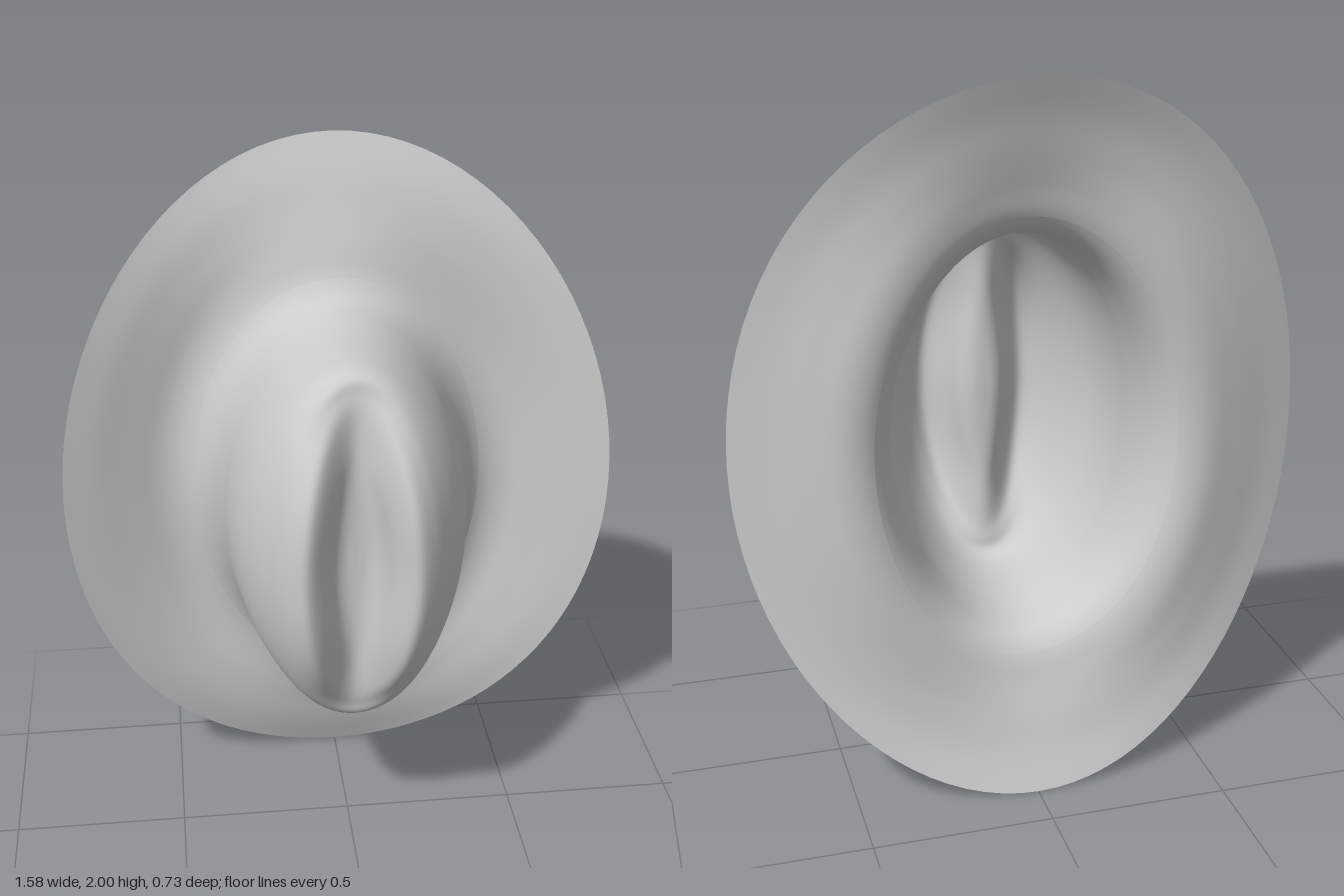
import * as THREE from 'three';

// Each station is one oval ring, listed from its rim inward:
// [half width, z at the sides, half height, z at the ends]
const BRIM = [
  [0.79, -0.165, 1.0, -0.365],
  [0.7, -0.197, 0.9, -0.327],
  [0.6, -0.24, 0.8, -0.297],
  [0.5, -0.275, 0.71, -0.268],
  [0.42, -0.258, 0.625, -0.24],
];
const CROWN = [
  [0.37, -0.19, 0.575, -0.19],
  [0.343, -0.09, 0.552, -0.1],
  [0.333, 0.01, 0.54, -0.01],
  [0.312, 0.12, 0.535, 0.09],
  [0.28, 0.2, 0.53, 0.165],
  [0.24, 0.27, 0.51, 0.203],
  [0.2, 0.327, 0.475, 0.213],
  [0.15, 0.363, 0.425, 0.222],
  [0.1, 0.322, 0.33, 0.226],
  [0.065, 0.255, 0.23, 0.228],
  [0.035, 0.23, 0.12, 0.227],
  [0, 0.225, 0, 0.225],
];
const SEGMENTS = 96;
const STEPS = 5; // rings between neighbouring stations

// Smooth side and end profiles shared by the whole hat
const stations = [...BRIM, ...CROWN];
const profile = (r, z) => new THREE.CatmullRomCurve3(
  stations.map((s) => new THREE.Vector3(s[r], s[z], 0)), false, 'catmullrom', 0.5);
const sideProfile = profile(0, 1);
const endProfile = profile(2, 3);

// Sideways bend of the brim: both sides curl forward, the same all along y
const bend = (x) => -0.365 + 0.38 * x ** 2 - 0.09 * x ** 4;

// Point on the felt at profile parameter t and angle a
function feltPoint(t, a) {
  const side = sideProfile.getPoint(t);
  const end = endProfile.getPoint(t);
  const x = side.x * Math.cos(a);
  const blend = Math.abs(Math.sin(a)) ** 3.2;
  const lift = THREE.MathUtils.lerp(side.y - bend(side.x), end.y - bend(0), blend);
  return [x, 1 + end.x * Math.sin(a), bend(x) + lift];
}

// Shell between two stations
function feltShell(from, to) {
  const positions = [];
  const index = [];
  const rings = (to - from) * STEPS;
  for (let i = 0; i <= rings; i++) {
    const t = (from + i / STEPS) / (stations.length - 1);
    for (let j = 0; j < SEGMENTS; j++) {
      positions.push(...feltPoint(t, (j / SEGMENTS) * Math.PI * 2));
    }
  }
  for (let i = 0; i < rings; i++) {
    for (let j = 0; j < SEGMENTS; j++) {
      const k = (j + 1) % SEGMENTS;
      const a = i * SEGMENTS + j;
      const b = i * SEGMENTS + k;
      index.push(a, b, b + SEGMENTS, a, b + SEGMENTS, a + SEGMENTS);
    }
  }
  const geometry = new THREE.BufferGeometry();
  geometry.setAttribute('position', new THREE.Float32BufferAttribute(positions, 3));
  geometry.setIndex(index);
  geometry.computeVertexNormals();
  return geometry;
}

export function createModel() {
  const hat = new THREE.Group();
  hat.name = 'hat';
  const felt = new THREE.MeshStandardMaterial({ color: 0xcccccc, side: THREE.DoubleSide });
  const add = (name, from, to) => {
    const mesh = new THREE.Mesh(feltShell(from, to), felt);
    mesh.name = name;
    hat.add(mesh);
  };

  // Curled brim, then the creased crown rising from it
  add('brim', 0, BRIM.length - 1);
  add('crown', BRIM.length - 1, stations.length - 1);
  return hat;
}
